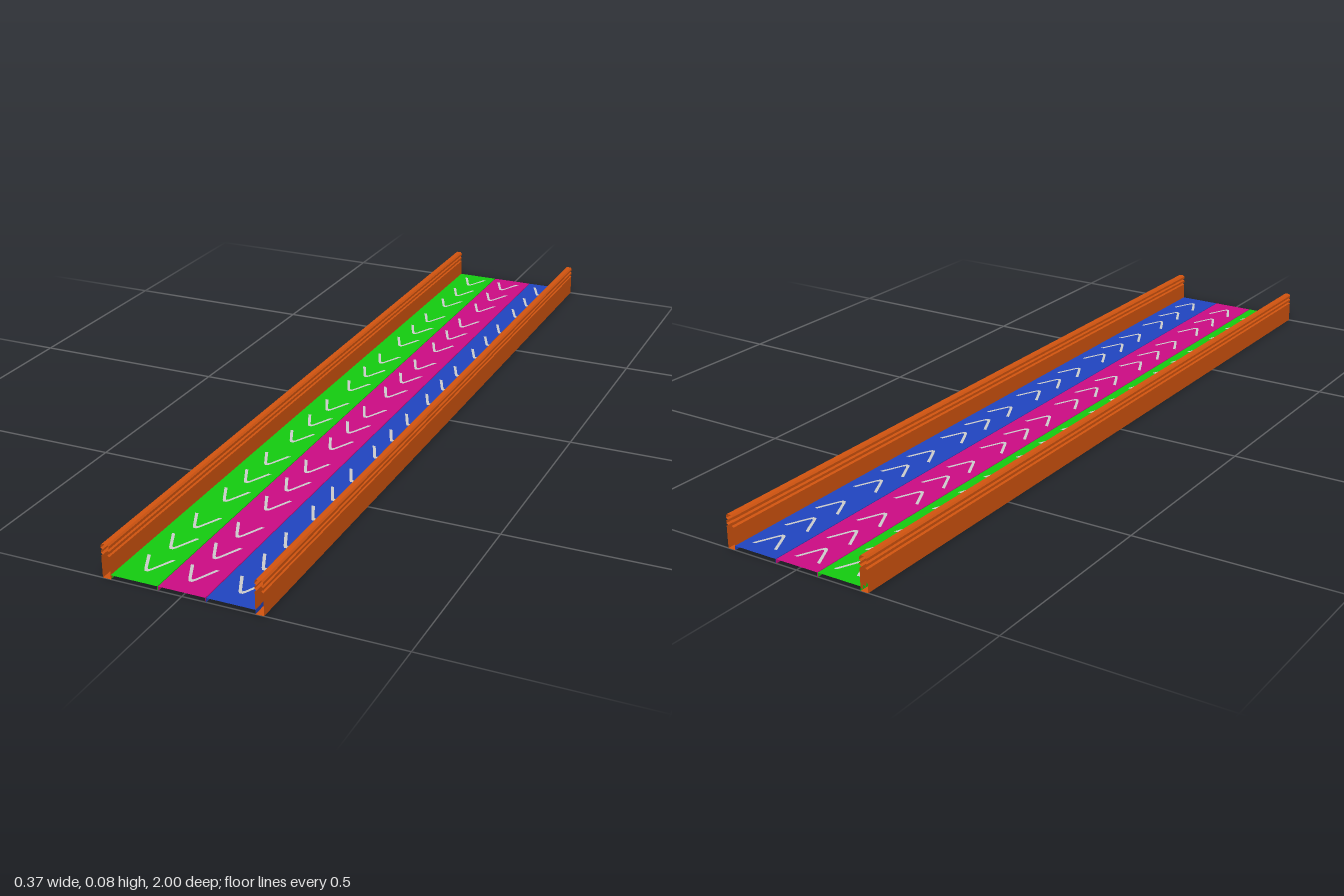
import * as THREE from 'three';

const LENGTH = 2, DECK = 0.01;

function material(color) {
  return new THREE.MeshStandardMaterial({ color, side: THREE.DoubleSide });
}

// Sweep a cross-section of [x, y] points along z, leaving the ends open
function sweep(points, closed) {
  const pos = [], z = LENGTH / 2;
  const count = closed ? points.length : points.length - 1;
  for (let i = 0; i < count; i++) {
    const [ax, ay] = points[i], [bx, by] = points[(i + 1) % points.length];
    pos.push(ax, ay, -z, bx, by, -z, bx, by, z);
    pos.push(ax, ay, -z, bx, by, z, ax, ay, z);
  }
  const geo = new THREE.BufferGeometry();
  geo.setAttribute('position', new THREE.Float32BufferAttribute(pos, 3));
  geo.computeVertexNormals();
  return geo;
}

// Flat V-shaped arrow with a blunted tip pointing to +z
function chevronGeometry() {
  const outer = [[-0.034, -0.032], [-0.009, 0.022], [-0.004, 0.03], [0.004, 0.03], [0.009, 0.022], [0.034, -0.032]];
  const inner = [[0.026, -0.032], [0.004, 0.017], [0, 0.021], [-0.004, 0.017], [-0.026, -0.032]];
  const shape = new THREE.Shape([...outer, ...inner].map(([x, z]) => new THREE.Vector2(x, -z)));
  return new THREE.ShapeGeometry(shape).rotateX(-Math.PI / 2);
}

export function createModel() {
  const model = new THREE.Group();
  model.name = 'threeLaneTrack';

  // Lanes: shallow channels with a skirt on each edge
  const lanes = [
    { name: 'rightLane', x0: -0.167, x1: -0.057, mark: -0.108, color: 0x14cc10 },
    { name: 'middleLane', x0: -0.055, x1: 0.054, mark: -0.004, color: 0xcc0c84 },
    { name: 'leftLane', x0: 0.056, x1: 0.167, mark: 0.112, color: 0x2045c0 },
  ];
  const chevron = chevronGeometry();
  const chevronMaterial = material(0xcccccc);
  for (const { name, x0, x1, mark, color } of lanes) {
    const lane = new THREE.Group();
    lane.name = name;
    const deck = new THREE.Mesh(sweep([[x1, 0], [x1, DECK], [x0, DECK], [x0, 0]], false), material(color));
    deck.name = name + 'Deck';
    lane.add(deck);

    // Six groups of three arrows
    for (let g = 0; g < 6; g++) {
      for (let k = 0; k < 3; k++) {
        const arrow = new THREE.Mesh(chevron, chevronMaterial);
        arrow.name = 'chevron';
        arrow.position.set(mark, DECK + 0.0012, -0.938 + g * 0.3333 + k * 0.1);
        lane.add(arrow);
      }
    }
    model.add(lane);
  }

  // Side walls: tall panel with two ridges along the top
  const half = [
    [0.0095, 0], [0.0095, 0.052], [0.005, 0.055], [0.0095, 0.058],
    [0.0095, 0.064], [0.005, 0.067], [0.0095, 0.07], [0.0095, 0.076], [0.006, 0.08],
  ];
  const profile = [...half, ...half.map(([x, y]) => [-x, y]).reverse()];
  const wallGeometry = sweep(profile, true);
  const wallMaterial = material(0xd2540f);
  for (const side of [-1, 1]) {
    const wall = new THREE.Mesh(wallGeometry, wallMaterial);
    wall.name = side > 0 ? 'leftWall' : 'rightWall';
    wall.position.x = side * 0.1765;
    model.add(wall);
  }
  return model;
}
